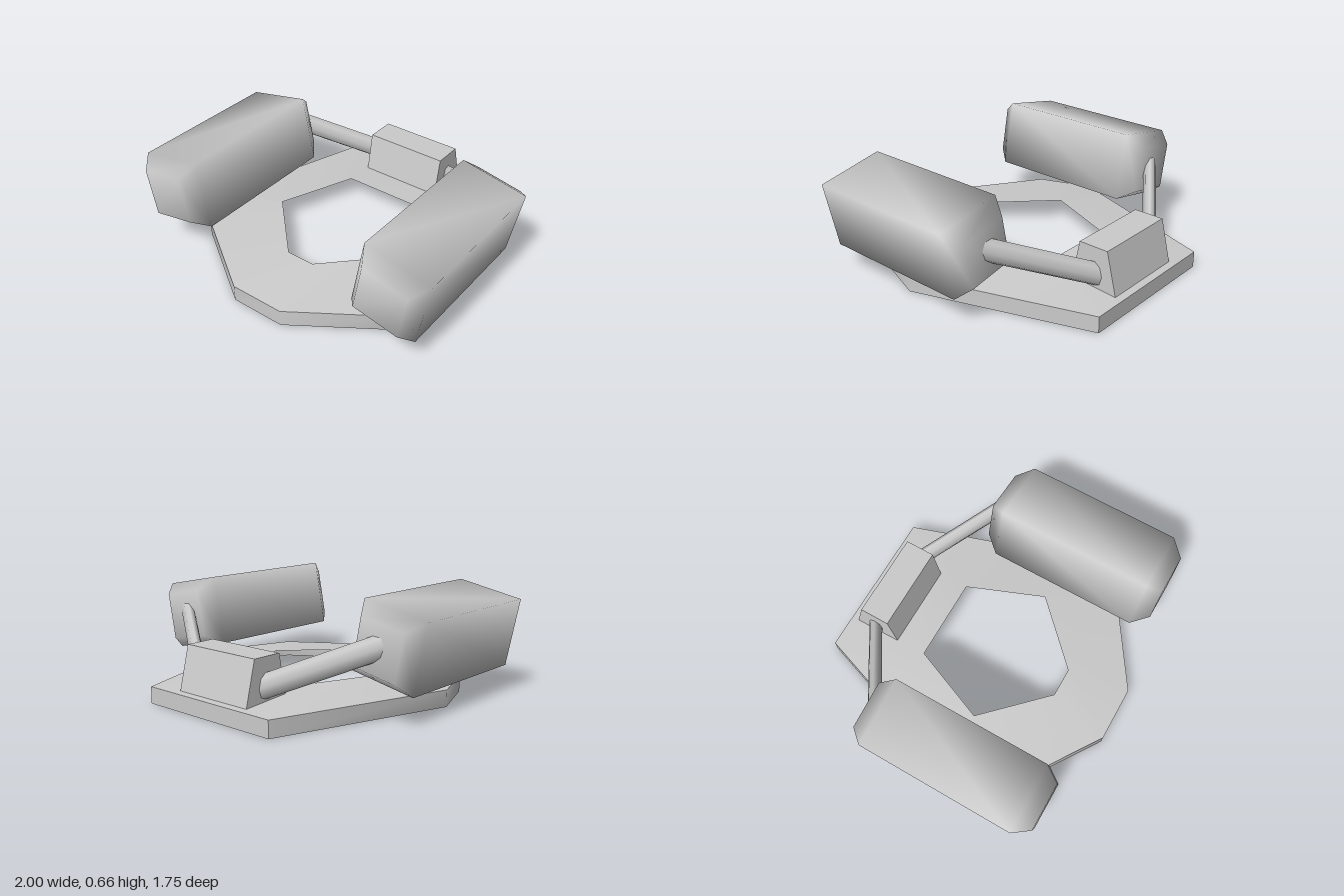
import * as THREE from 'three';
import { toCreasedNormals } from 'three/addons/utils/BufferGeometryUtils.js';

const grey = new THREE.MeshStandardMaterial({ color: 0xcccccc });
const greyOpen = new THREE.MeshStandardMaterial({ color: 0xcccccc, side: THREE.DoubleSide });

// Skin between rings of [x, y, z] points that run counter-clockwise about the loft direction
function loft(rings, capStart, capEnd) {
  const n = rings[0].length, last = (rings.length - 1) * n, index = [];
  for (let i = 0; i < rings.length - 1; i++) {
    for (let j = 0; j < n; j++) {
      const k = (j + 1) % n, a = i * n + j, b = i * n + k;
      index.push(a, b, b + n, a, b + n, a + n);
    }
  }
  for (let j = 1; j < n - 1; j++) {
    if (capStart) index.push(0, j + 1, j);
    if (capEnd) index.push(last, last + j, last + j + 1);
  }
  const g = new THREE.BufferGeometry();
  g.setAttribute('position', new THREE.Float32BufferAttribute(rings.flat(2), 3));
  g.setIndex(index);
  g.computeVertexNormals();
  return g;
}

function addMesh(parent, name, geometry, material = grey) {
  const mesh = new THREE.Mesh(geometry, material);
  mesh.name = name;
  parent.add(mesh);
  return mesh;
}

// Hollow ring: outer wall, then a shallow slope up to the central opening
function baseRing() {
  const mirrored = (half) => [...half, ...half.map(([x, z]) => [-x, z]).reverse()];
  const atHeight = (pts, y) => pts.map(([x, z]) => [x, y, z]);
  const outer = mirrored([[0.17, 0.872], [0.71, 0.515], [0.83, 0.19], [0.47, -0.875]]);
  const inner = mirrored([[0.09, 0.49], [0.43, 0.15], [0.45, 0.13], [0.26, -0.342]]);
  const g = loft([atHeight(outer, 0), atHeight(outer, 0.1), atHeight(inner, 0.14)]);
  return toCreasedNormals(g, 1);
}

// Tapered block, open underneath
function blockGeometry() {
  const rect = (y, front, back) =>
    [[0.265, y, front], [0.265, y, back], [-0.265, y, back], [-0.265, y, front]];
  return toCreasedNormals(loft([rect(0.1, -0.53, -0.83), rect(0.36, -0.58, -0.765)], false, true), 1);
}

// Square pod with chamfered ends, lengthwise in z
function podGeometry() {
  const square = (h, z) => [[-h, -h, z], [h, -h, z], [h, h, z], [-h, h, z]];
  return loft([square(0.141, -0.57), square(0.207, -0.475),
    square(0.207, 0.475), square(0.141, 0.57)], true, true);
}

export function createModel() {
  const model = new THREE.Group();
  model.name = 'model';
  addMesh(model, 'baseRing', baseRing(), greyOpen);
  addMesh(model, 'rearBlock', blockGeometry(), greyOpen);

  const podGeo = podGeometry();
  for (const [side, label] of [[1, 'left'], [-1, 'right']]) {
    const pod = addMesh(model, label + 'Pod', podGeo);
    pod.position.set(side * 0.757, 0.412, 0.205);
    pod.rotation.z = -side * 0.195;

    // Flattened arm rising from the block to the back of the pod
    const start = new THREE.Vector3(side * 0.2, 0.17, -0.73);
    const end = new THREE.Vector3(side * 0.8, 0.445, -0.315);
    const geo = new THREE.CylinderGeometry(1, 1, start.distanceTo(end), 8);
    geo.rotateX(Math.PI / 2).scale(0.04, 0.068, 1);
    const arm = addMesh(model, label + 'Arm', geo);
    arm.position.copy(start).lerp(end, 0.5);
    arm.lookAt(end);
  }
  return model;
}
